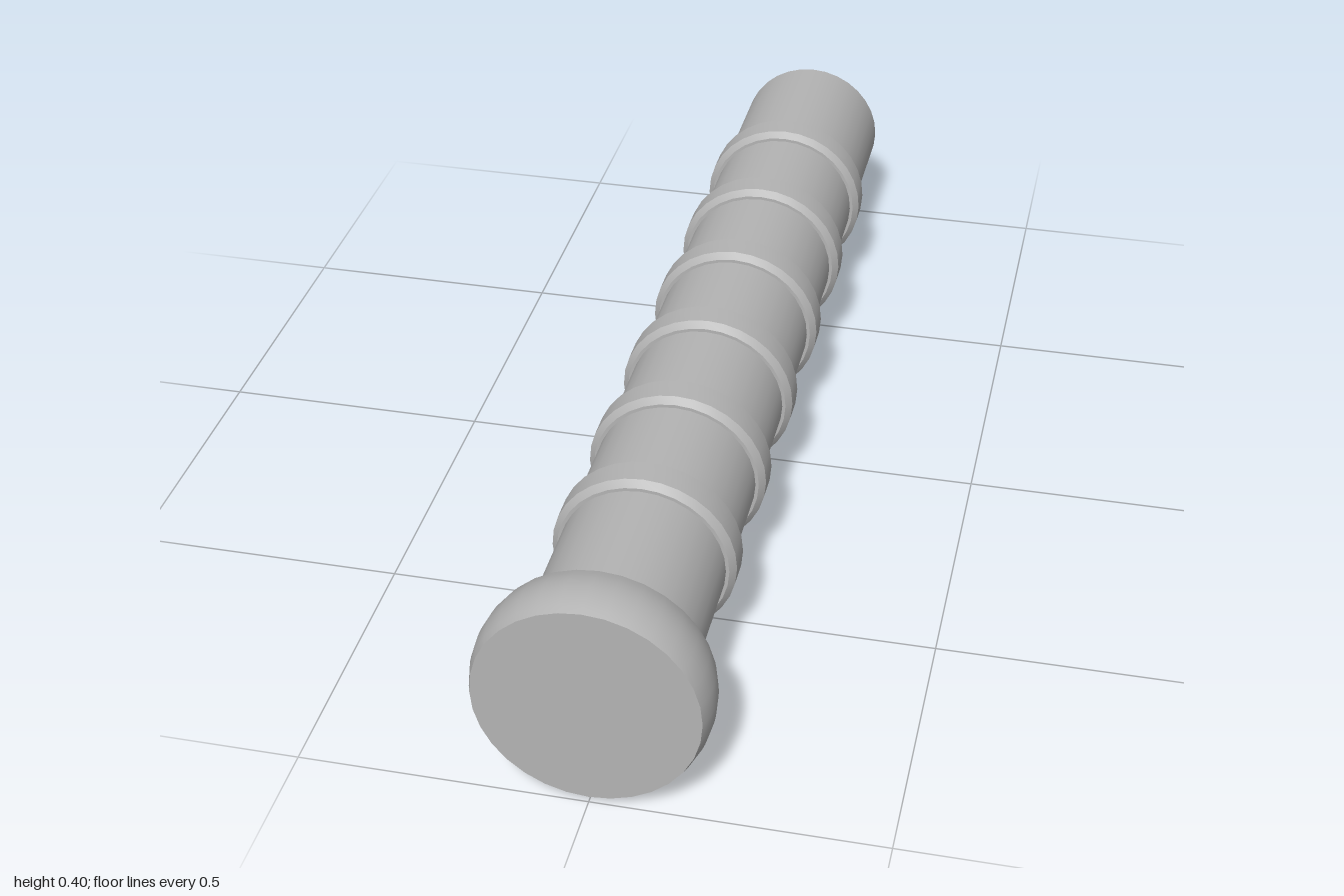
import * as THREE from 'three';
import { toCreasedNormals } from 'three/addons/utils/BufferGeometryUtils.js';

const SEGMENTS = 32;
const AXIS_HEIGHT = 0.203;

// Turns a [radius, z] profile (listed back to front) around the z axis
function turned(name, profile, material) {
  const points = profile.map(([r, z]) => new THREE.Vector2(r, z));
  const geometry = new THREE.LatheGeometry(points, SEGMENTS).rotateX(Math.PI / 2);
  const mesh = new THREE.Mesh(toCreasedNormals(geometry, Math.PI / 6), material);
  mesh.name = name;
  return mesh;
}

export function createModel() {
  const grey = new THREE.MeshStandardMaterial({ color: 0xb4b4b4 });
  grey.name = 'grey';

  const model = new THREE.Group();
  model.name = 'ribbedGrip';
  const body = new THREE.Group();
  body.name = 'gripBody';
  body.position.y = AXIS_HEIGHT;
  model.add(body);

  // Plain shaft, closed at the back and ending inside the pommel
  body.add(turned('shaft', [[0, -1], [0.146, -1], [0.146, 0.9]], grey));

  // Pommel with a gently bulging rim
  const rim = [];
  for (let i = 0; i <= 8; i++) {
    const t = i / 4 - 1;
    rim.push([0.202 - 0.011 * t * t, 0.945 + 0.055 * t]);
  }
  body.add(turned('pommel', [[0.14, 0.89], ...rim, [0, 1]], grey));

  // Six evenly spaced chamfered rings
  const ring = [
    [0.14, -0.037], [0.152, -0.037], [0.163, -0.025],
    [0.163, 0.025], [0.152, 0.037], [0.14, 0.037],
  ];
  for (let i = 0; i < 6; i++) {
    const mesh = turned('gripRing' + (i + 1), ring, grey);
    mesh.position.z = 0.577 - i * 0.2538;
    body.add(mesh);
  }

  return model;
}
